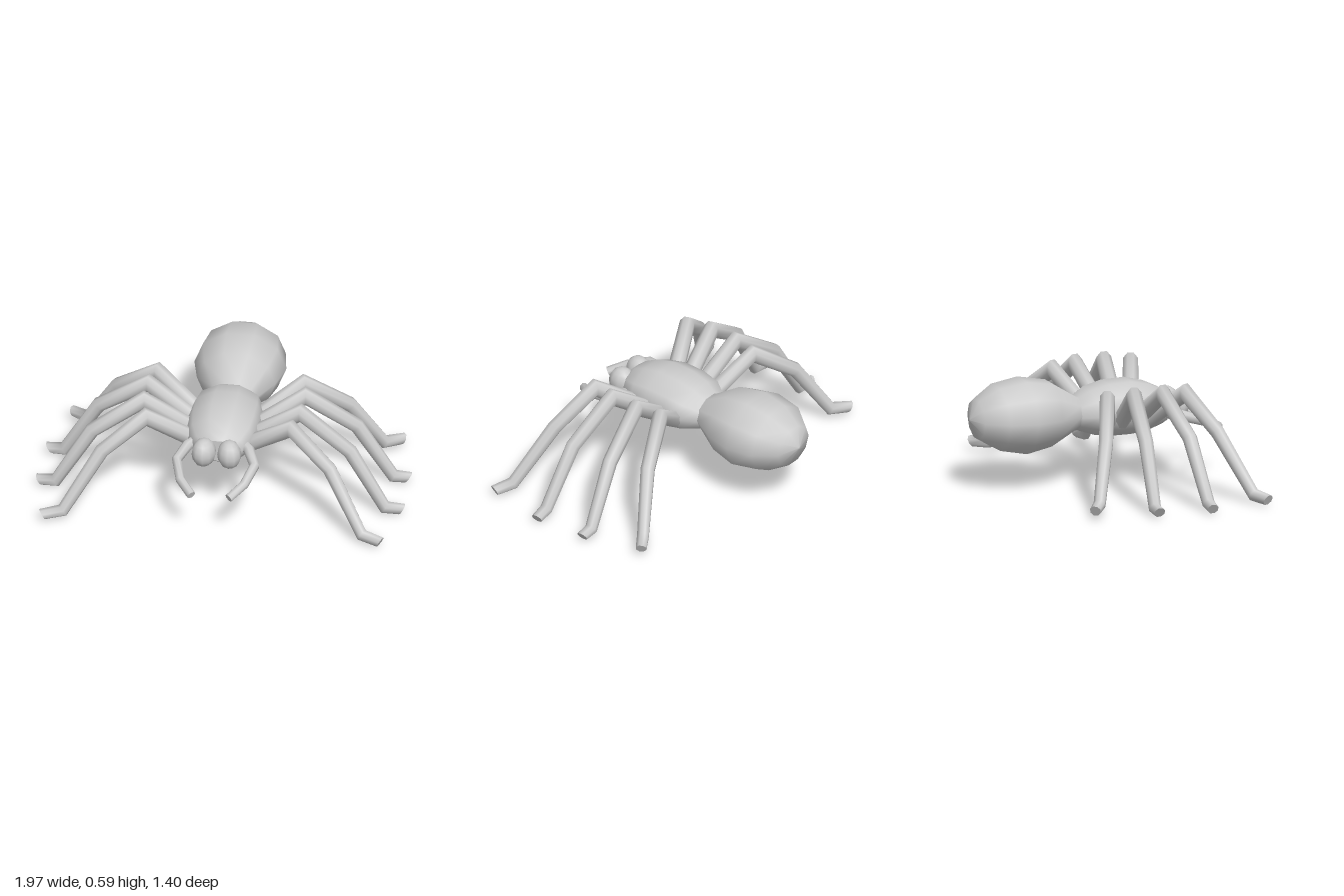
import * as THREE from 'three';

const V = (x, y, z) => new THREE.Vector3(x, y, z);
const material = new THREE.MeshStandardMaterial({ color: 0xcccccc });

// Sweeps elliptical rings along a path. Each stop is [x, y, z, rx, ry]; joints are mitred.
function sweep(name, stops, sides, endNormal) {
  const pts = stops.map(s => V(s[0], s[1], s[2]));
  const n = pts.length;
  const pos = [], idx = [];
  for (let i = 0; i < n; i++) {
    const a = pts[Math.max(i - 1, 0)], b = pts[Math.min(i + 1, n - 1)];
    const dirIn = i > 0 ? pts[i].clone().sub(a).normalize() : b.clone().sub(pts[i]).normalize();
    const dirOut = i < n - 1 ? b.clone().sub(pts[i]).normalize() : dirIn;
    const t = i === n - 1 && endNormal ? endNormal.clone().normalize() : dirIn.clone().add(dirOut).normalize();
    const side = V(0, 1, 0).cross(t).normalize();
    const up = t.clone().cross(side);
    const mitre = 1 / Math.max(0.7, t.dot(dirIn));
    for (let j = 0; j < sides; j++) {
      // half-step offset keeps a flat facet on top
      const ang = Math.PI / 2 + (j + 0.5) * Math.PI * 2 / sides;
      const p = pts[i].clone()
        .addScaledVector(side, Math.cos(ang) * stops[i][3])
        .addScaledVector(up, Math.sin(ang) * stops[i][4] * mitre);
      pos.push(p.x, p.y, p.z);
    }
  }
  for (let i = 0; i < n - 1; i++) {
    for (let j = 0; j < sides; j++) {
      const k = (j + 1) % sides;
      const a = i * sides + j, b = i * sides + k, c = a + sides, d = b + sides;
      idx.push(a, b, c, b, d, c);
    }
  }
  // flat end caps with their own vertices
  for (const end of [0, n - 1]) {
    const base = pos.length / 3;
    for (let j = 0; j < sides * 3; j++) pos.push(pos[end * sides * 3 + j]);
    for (let j = 1; j < sides - 1; j++) {
      if (end) idx.push(base, base + j, base + j + 1);
      else idx.push(base, base + j + 1, base + j);
    }
  }
  const geo = new THREE.BufferGeometry();
  geo.setAttribute('position', new THREE.Float32BufferAttribute(pos, 3));
  geo.setIndex(idx);
  geo.computeVertexNormals();
  const mesh = new THREE.Mesh(geo, material);
  mesh.name = name;
  return mesh;
}

// Body section from [z, centre y, half width, half height]
const body = (name, rows) => sweep(name, rows.map(([z, y, rx, ry]) => [0, y, z, rx, ry]), 10);

export function createModel() {
  const model = new THREE.Group();
  model.name = 'spider';

  model.add(body('abdomen', [
    [-0.70, 0.395, 0.004, 0.004],
    [-0.66, 0.395, 0.13, 0.11],
    [-0.55, 0.397, 0.22, 0.177],
    [-0.40, 0.395, 0.246, 0.205],
    [-0.25, 0.395, 0.21, 0.177],
    [-0.11, 0.385, 0.125, 0.095],
    [-0.03, 0.38, 0.10, 0.08],
  ]));

  model.add(body('thorax', [
    [-0.14, 0.38, 0.09, 0.065],
    [-0.10, 0.38, 0.13, 0.09],
    [-0.02, 0.388, 0.185, 0.128],
    [0.08, 0.395, 0.20, 0.147],
    [0.20, 0.397, 0.20, 0.149],
    [0.30, 0.39, 0.185, 0.13],
    [0.38, 0.385, 0.145, 0.098],
    [0.42, 0.385, 0.09, 0.065],
  ]));

  // Hip, knee, shin, ankle and toe of each leg, front to back (left side)
  const legs = [
    [[0.14, 0.35, 0.27], [0.39, 0.535, 0.375], [0.61, 0.36, 0.47], [0.80, 0.05, 0.60], [0.905, 0.04, 0.64]],
    [[0.14, 0.35, 0.19], [0.42, 0.548, 0.235], [0.69, 0.36, 0.28], [0.88, 0.045, 0.31], [0.97, 0.035, 0.30]],
    [[0.14, 0.35, 0.11], [0.42, 0.548, 0.07], [0.69, 0.36, 0.03], [0.88, 0.045, 0.005], [0.96, 0.04, 0.00]],
    [[0.14, 0.35, 0.03], [0.39, 0.535, -0.07], [0.62, 0.36, -0.17], [0.79, 0.07, -0.275], [0.88, 0.06, -0.335]],
  ];
  const legRadii = [0.046, 0.043, 0.039, 0.033, 0.03];
  const palp = [[0.12, 0.385, 0.32], [0.165, 0.38, 0.38], [0.208, 0.35, 0.48], [0.17, 0.305, 0.60], [0.10, 0.265, 0.68]];
  const palpRadii = [0.03, 0.03, 0.027, 0.025, 0.024];

  for (const [label, s] of [['left', 1], ['right', -1]]) {
    const limb = (path, radii) => path.map(([x, y, z], i) => [x * s, y, z, radii[i], radii[i]]);

    legs.forEach((path, i) => {
      const hip = path[3], toe = path[4];
      const cut = V((toe[0] - hip[0]) * s, -0.055, toe[2] - hip[2]);
      model.add(sweep(`${label}Leg${i + 1}`, limb(path, legRadii), 8, cut));
    });

    model.add(sweep(`${label}Feeler`, limb(palp, palpRadii), 8));

    // Rounded jaw lobe, turned slightly outward
    const jaw = new THREE.Mesh(new THREE.SphereGeometry(1, 10, 8), material);
    jaw.name = `${label}Jaw`;
    jaw.scale.set(0.064, 0.08, 0.075);
    jaw.position.set(0.068 * s, 0.388, 0.445);
    jaw.rotation.y = 0.25 * s;
    model.add(jaw);
  }
  return model;
}
